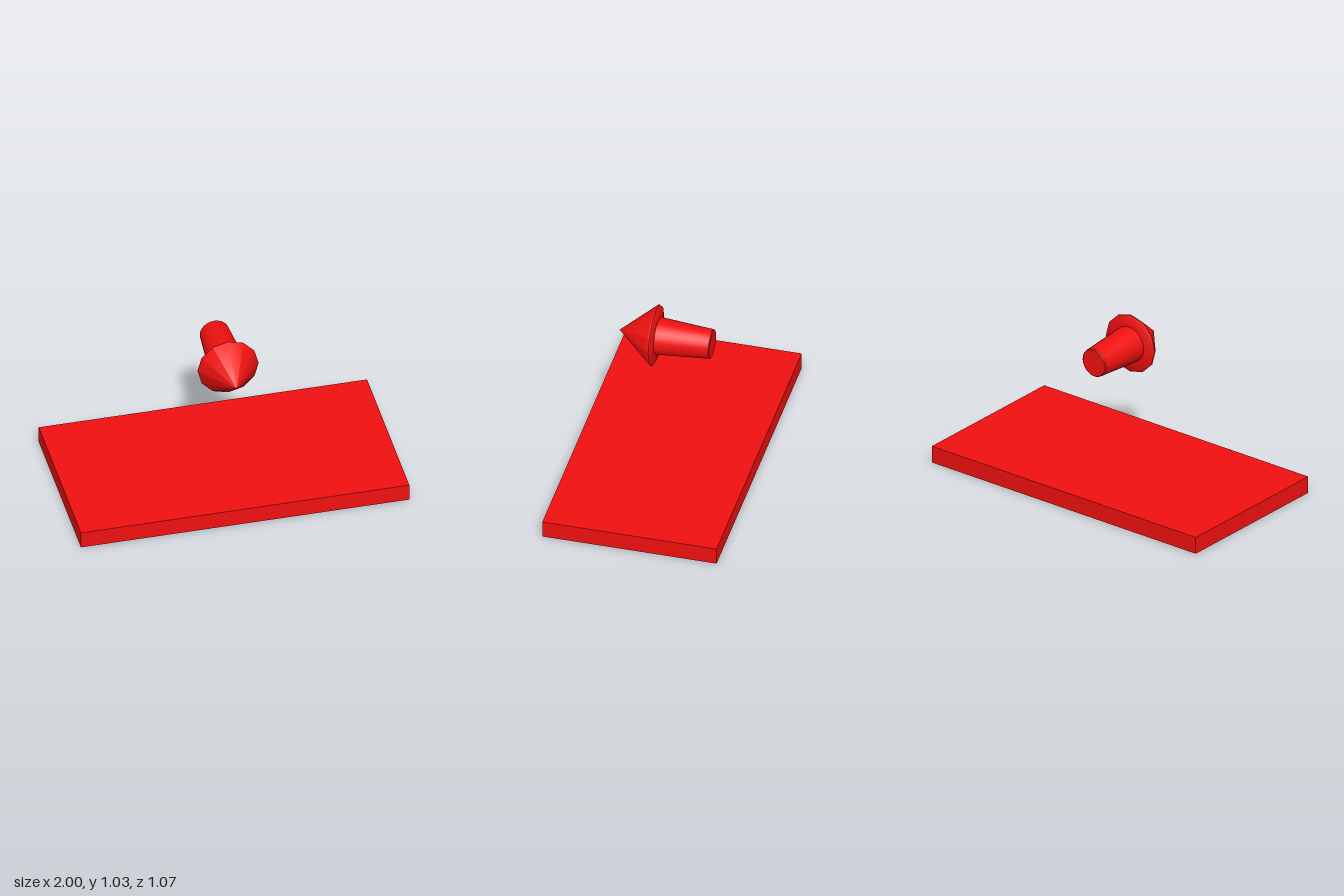
import * as THREE from 'three';
import { toCreasedNormals } from 'three/addons/utils/BufferGeometryUtils.js';

const red = new THREE.MeshStandardMaterial({ color: 0xf01010 });
const AXIS_HEIGHT = 0.845;

// Turned part lying along z; profile is [radius, z] from back to front
function turned(name, profile, sides) {
  const points = profile.map(([r, z]) => new THREE.Vector2(r, z));
  const geometry = new THREE.LatheGeometry(points, sides).rotateX(Math.PI / 2);
  const mesh = new THREE.Mesh(toCreasedNormals(geometry, 0.7), red);
  mesh.name = name;
  mesh.position.y = AXIS_HEIGHT;
  return mesh;
}

export function createModel() {
  const model = new THREE.Group();
  model.name = 'arrowOverPlate';

  // Flat rectangular plate on the ground
  const plate = new THREE.Mesh(new THREE.BoxGeometry(2, 0.107, 1.066), red);
  plate.name = 'plate';
  plate.position.y = 0.0535;
  model.add(plate);

  // Floating arrow pointing forward: twelve-sided head, tapered round shaft
  const arrow = new THREE.Group();
  arrow.name = 'arrow';
  arrow.add(
    turned('arrowHead', [[0, 0.083], [0.113, 0.083], [0.181, 0.094], [0.185, 0.098], [0.185, 0.106], [0, 0.32]], 12),
    turned('arrowShaft', [[0, -0.248], [0.084, -0.248], [0.089, -0.243], [0.113, 0.084], [0, 0.084]], 24)
  );
  model.add(arrow);

  return model;
}
